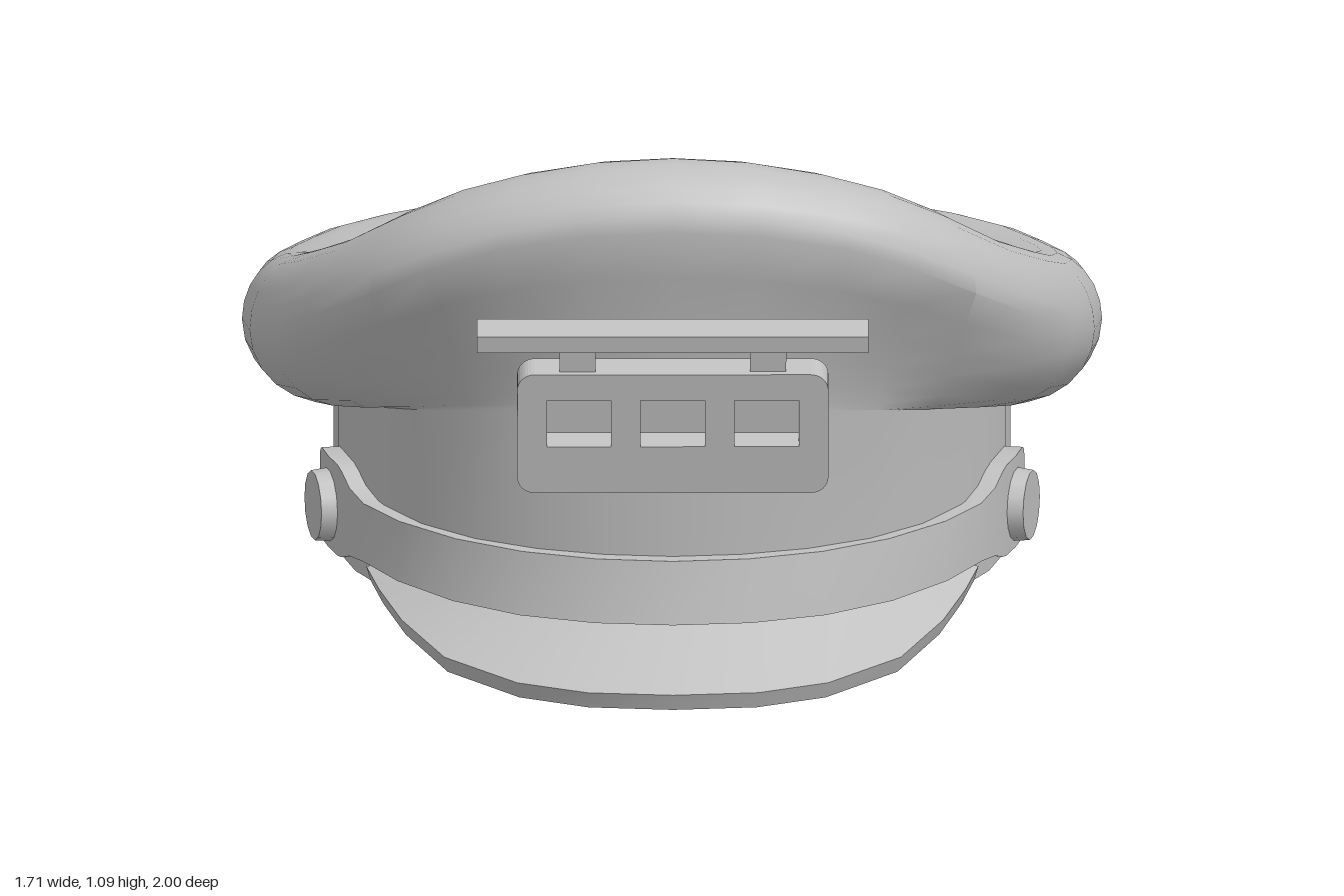
import * as THREE from 'three';
import { toCreasedNormals } from 'three/addons/utils/BufferGeometryUtils.js';

const DEG = Math.PI / 180;
const grey = new THREE.MeshStandardMaterial({ color: 0xc0c0c0 });
grey.name = 'greyCloth';

// Skins rows of [x, y, z] points; columns run towards +x across the front
function loft(rows, crease) {
  const n = rows[0].length, index = [];
  for (let j = 0; j < rows.length - 1; j++) {
    for (let i = 0; i < n - 1; i++) {
      const a = j * n + i, d = a + n;
      index.push(a, a + 1, d + 1, a, d + 1, d);
    }
  }
  const geo = new THREE.BufferGeometry();
  geo.setAttribute('position', new THREE.Float32BufferAttribute(rows.flat(2), 3));
  geo.setIndex(index);
  return toCreasedNormals(geo, crease * DEG);
}

function part(name, geo, x = 0, y = 0, z = 0) {
  const mesh = new THREE.Mesh(geo, grey);
  mesh.name = name;
  mesh.position.set(x, y, z);
  return mesh;
}

const mix = THREE.MathUtils.lerp, smooth = THREE.MathUtils.smoothstep;

// Widest rim of the crown, front to back: x, z, y
const RIM = [
  [0, 0.93, 0.97], [0.175, 0.92, 0.96], [0.35, 0.89, 0.925], [0.485, 0.84, 0.87],
  [0.605, 0.755, 0.8], [0.725, 0.59, 0.71], [0.8, 0.39, 0.63], [0.842, 0.2, 0.58],
  [0.857, 0, 0.55], [0.842, -0.2, 0.525], [0.795, -0.4, 0.505], [0.733, -0.575, 0.49],
  [0.625, -0.735, 0.48], [0.495, -0.85, 0.475], [0.34, -0.93, 0.47], [0.18, -0.985, 0.465],
  [0, -1, 0.46],
];

// Height of the crown's top from back to front: z, y
const TOP = [
  [-0.86, 0.585], [-0.6, 0.6], [-0.4, 0.62], [-0.2, 0.65], [0, 0.69], [0.15, 0.725], [0.3, 0.77],
  [0.4, 0.812], [0.48, 0.852], [0.55, 0.905], [0.6, 0.97], [0.64, 1.022], [0.7, 1.068], [0.8, 1.09],
];

function topHeight(x, z) {
  let k = 0;
  while (k < TOP.length - 2 && z > TOP[k + 1][0]) k++;
  const [z0, y0] = TOP[k], [z1, y1] = TOP[k + 1];
  const y = mix(y0, y1, THREE.MathUtils.clamp((z - z0) / (z1 - z0), 0, 1));
  return y - 0.39 * x * x * smooth(z, 0.44, 0.73);
}

// Point on the slightly squared headband oval; angle 0 is the front
function oval(a, y, off = 0) {
  const square = 1 + 0.025 * Math.sin(2 * a) ** 2;
  return [(0.675 * square + off) * Math.sin(a), y, (0.782 * square + off) * Math.cos(a)];
}
const seamHeight = (z) => 0.385 + 0.19 * z + 0.08 * z * z;

const COLUMNS = Array.from({ length: 33 }, (_, i) => i);
const columnAngle = (i) => (i * Math.PI) / 16;

// Outer headband wall, rolled rim and dished top
function crownGeometry() {
  const columns = COLUMNS.map((i) => {
    const a = columnAngle(i), side = i > 16 ? -1 : 1;
    const [rx, rz, ry] = RIM[i > 16 ? 32 - i : i];
    const ex = rx * side;
    const low = oval(a, 0.11);
    const front = smooth(low[2], 0.36, 0.68);
    const [bx, by, bz] = oval(a, seamHeight(low[2]), 0.05 * front);
    const col = [low, oval(a, 0.27, 0.018 * front), [bx, by, bz]];
    // Underside: swells at the sides and back, flares gently up the front
    for (let k = 1; k <= 6; k++) {
      const t = (k / 6) * Math.PI / 2;
      const f = mix(Math.sin(t), (1 - Math.cos(t)) ** 1.25, front);
      col.push([mix(bx, ex, f), mix(ry, by, Math.cos(t)), mix(bz, rz, f)]);
    }
    // Upper half of the roll
    const tx = ex * 0.86, tz = rz * 0.86, ty = topHeight(tx, tz);
    for (let k = 1; k <= 6; k++) {
      const t = (k / 6) * Math.PI / 2;
      col.push([mix(tx, ex, Math.cos(t)), mix(ry, ty, Math.sin(t)), mix(tz, rz, Math.cos(t))]);
    }
    // Slightly sunken top
    for (const s of [0.81, 0.76, 0.71, 0.66, 0.61, 0.56, 0.5, 0.42, 0.33, 0.22, 0.11, 0]) {
      const dish = 0.015 * (1 - (s / 0.86) ** 2);
      col.push([ex * s, topHeight(ex * s, rz * s) - dish, rz * s]);
    }
    return col;
  });
  return loft(columns[0].map((_, j) => columns.map((c) => c[j])), 50);
}

// Inside of the cap: ceiling, inner wall and the lower edge of the headband
function liningGeometry() {
  const ceiling = (z) => seamHeight(z) + 0.11;
  const ring = (off, height) => COLUMNS.map((i) => {
    const a = columnAngle(i);
    return oval(a, height(0.782 * Math.cos(a)), off);
  });
  return loft([
    COLUMNS.map(() => [0, ceiling(0), 0]),
    ring(-0.06, ceiling), ring(-0.06, () => 0.11), ring(0, () => 0.11),
  ], 40);
}

// Mirrors a front-to-side list into a left-to-right sweep
const mirrored = (list, flip) => [...list.slice(1).reverse().map(flip), ...list];

// Peak: inner angle, then outer x, z and top y
function visorGeometry() {
  const half = [
    [0, 0, 0.998, 0.036], [9, 0.17, 0.978, 0.036], [18, 0.31, 0.915, 0.04], [29, 0.455, 0.79, 0.06],
    [39, 0.54, 0.63, 0.095], [48, 0.585, 0.51, 0.127], [56, 0.61, 0.42, 0.15],
  ];
  const sweep = mirrored(half, ([a, x, z, y]) => [-a, -x, z, y]);
  const inner = (y) => sweep.map(([a]) => oval(a * DEG, y, -0.02));
  return loft([
    inner(0.115),
    sweep.map(([, x, z, y]) => [x * 0.985, y - 0.034, z - 0.015]),
    sweep.map(([, x, z, y]) => [x, y, z]),
    inner(0.165),
  ], 35);
}

// Chin strap: angle, bottom, top, thickness at bottom and top; widens into a tab at each end
function strapGeometry() {
  const half = [
    [0, 0.143, 0.27, 0.075, 0.057], [12, 0.143, 0.271, 0.072, 0.056], [24, 0.145, 0.273, 0.066, 0.052],
    [36, 0.15, 0.276, 0.055, 0.045], [48, 0.158, 0.28, 0.045, 0.04], [58, 0.166, 0.285, 0.038, 0.037],
    [63, 0.16, 0.3, 0.036, 0.036], [66, 0.147, 0.322, 0.036, 0.036], [68, 0.143, 0.33, 0.036, 0.036],
    [73, 0.143, 0.33, 0.036, 0.036], [78, 0.143, 0.33, 0.036, 0.036], [79.3, 0.15, 0.322, 0.036, 0.036],
    [80, 0.165, 0.305, 0.036, 0.036], [80, 0.165, 0.305, -0.02, -0.02],
  ];
  const sweep = mirrored(half, ([a, ...rest]) => [-a, ...rest]);
  const outer = (edge) => sweep.map((s) => oval(s[0] * DEG, s[edge], s[edge + 2]));
  const inner = (edge) => sweep.map((s) => oval(s[0] * DEG, s[edge], -0.02));
  return loft([inner(1), outer(1), outer(2), inner(2), inner(1)], 40);
}

// Rounded plate with three windows
function badgePlateGeometry() {
  const w = 0.31, h = 0.133, r = 0.035;
  const shape = new THREE.Shape();
  shape.absarc(w - r, h - r, r, 0, Math.PI / 2);
  shape.absarc(r - w, h - r, r, Math.PI / 2, Math.PI);
  shape.absarc(r - w, r - h, r, Math.PI, Math.PI * 1.5);
  shape.absarc(w - r, r - h, r, Math.PI * 1.5, Math.PI * 2);
  for (const x of [-0.187, 0, 0.187]) {
    shape.holes.push(new THREE.Path([[-1, -1], [-1, 1], [1, 1], [1, -1]].map(
      ([u, v]) => new THREE.Vector2(x + u * 0.064, 0.023 + v * 0.052))));
  }
  return new THREE.ExtrudeGeometry(shape, { depth: 0.07, bevelEnabled: false, curveSegments: 4 });
}

export function createModel() {
  const cap = new THREE.Group();
  cap.name = 'peakedCap';
  cap.add(
    part('crown', crownGeometry()),
    part('lining', liningGeometry()),
    part('visor', visorGeometry()),
    part('chinStrap', strapGeometry()),
  );

  // Strap buttons
  for (const side of [-1, 1]) {
    const button = part('strapButton', new THREE.CylinderGeometry(0.07, 0.075, 0.045, 14), side * 0.694, 0.23, 0.24);
    button.rotation.set(0, side * -14 * DEG, side * -90 * DEG);
    cap.add(button);
  }

  // Front badge, leaning forward with the wall behind it
  const badge = new THREE.Group();
  badge.name = 'badge';
  badge.position.set(0, 0.56, 0.882);
  badge.rotation.x = 13 * DEG;
  badge.add(
    part('badgePlate', badgePlateGeometry(), 0, 0, -0.037),
    part('badgeBack', new THREE.BoxGeometry(0.56, 0.21, 0.008), 0, 0, -0.032),
    part('badgeBar', new THREE.BoxGeometry(0.78, 0.036, 0.078), 0, 0.203, 0),
  );
  for (const x of [-0.19, 0.19]) {
    badge.add(part('barLink', new THREE.BoxGeometry(0.072, 0.07, 0.04), x, 0.155, 0));
  }
  cap.add(badge);
  return cap;
}
